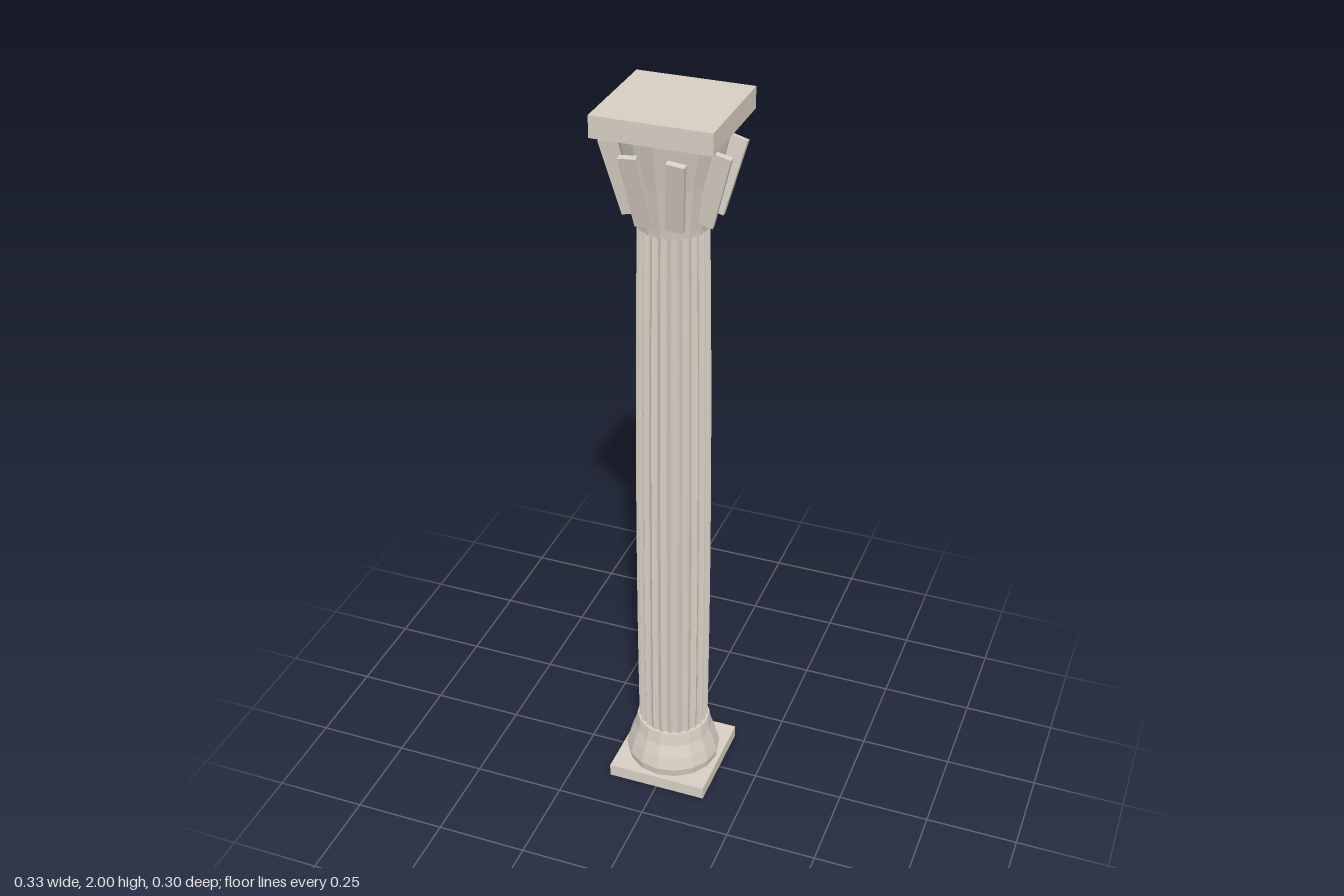
import * as THREE from 'three';

const stone = new THREE.MeshStandardMaterial({ color: 0xd6cec2, flatShading: true, side: THREE.DoubleSide });

function add(parent, name, geometry, y = 0) {
  const mesh = new THREE.Mesh(geometry, stone);
  mesh.name = name;
  mesh.position.y = y;
  parent.add(mesh);
  return mesh;
}

const lathe = (points, sides) =>
  new THREE.LatheGeometry(points.map(([r, y]) => new THREE.Vector2(r, y)), sides);

// Cylinder whose radius follows a gentle swelling, cut by scalloped flutes
function flutedShaft(y0, y1, flutes, depth) {
  const perFlute = 4;
  const geometry = new THREE.CylinderGeometry(1, 1, y1 - y0, flutes * perFlute, 12, true);
  const p = geometry.attributes.position;
  for (let i = 0; i < p.count; i++) {
    const t = (p.getY(i) + (y1 - y0) / 2) / (y1 - y0);
    const body = 0.097 + 0.014 * t - 0.023 * t * t;
    const angle = Math.atan2(p.getX(i), p.getZ(i));
    const r = body - depth * Math.abs(Math.sin(angle * flutes / 2));
    p.setX(i, Math.sin(angle) * r);
    p.setZ(i, Math.cos(angle) * r);
  }
  geometry.translate(0, (y0 + y1) / 2, 0);
  geometry.computeVertexNormals();
  return geometry;
}

export function createModel() {
  const column = new THREE.Group();
  column.name = 'column';

  // Foot: square plinth and flared round base
  add(column, 'plinth', new THREE.BoxGeometry(0.28, 0.036, 0.28), 0.018);
  add(column, 'base', lathe([
    [0, 0.036], [0.128, 0.036], [0.132, 0.06], [0.122, 0.095],
    [0.109, 0.13], [0.102, 0.168], [0, 0.168],
  ], 16));

  add(column, 'shaft', flutedShaft(0.16, 1.7, 24, 0.008));

  // Capital: flaring bell, square abacus
  const capital = new THREE.Group();
  capital.name = 'capital';
  column.add(capital);
  add(capital, 'bell', lathe([
    [0, 1.69], [0.088, 1.69], [0.091, 1.71], [0.111, 1.82], [0.14, 1.945], [0, 1.945],
  ], 16));
  add(capital, 'abacus', new THREE.BoxGeometry(0.3, 0.055, 0.3), 1.9725);

  // Ring of slab leaves, all facing front and leaning outwards
  const leafGeometry = new THREE.BoxGeometry(0.045, 0.195, 0.015);
  const lean = 0.28;
  for (let i = 0; i < 8; i++) {
    const a = (i + 0.5) * Math.PI / 4;
    const leaf = add(capital, 'leaf' + (i + 1), leafGeometry, 1.815);
    leaf.position.x = 0.127 * Math.cos(a);
    leaf.position.z = 0.127 * Math.sin(a);
    leaf.rotation.set(lean * Math.sin(a), 0, -lean * Math.cos(a));
  }
  return column;
}
